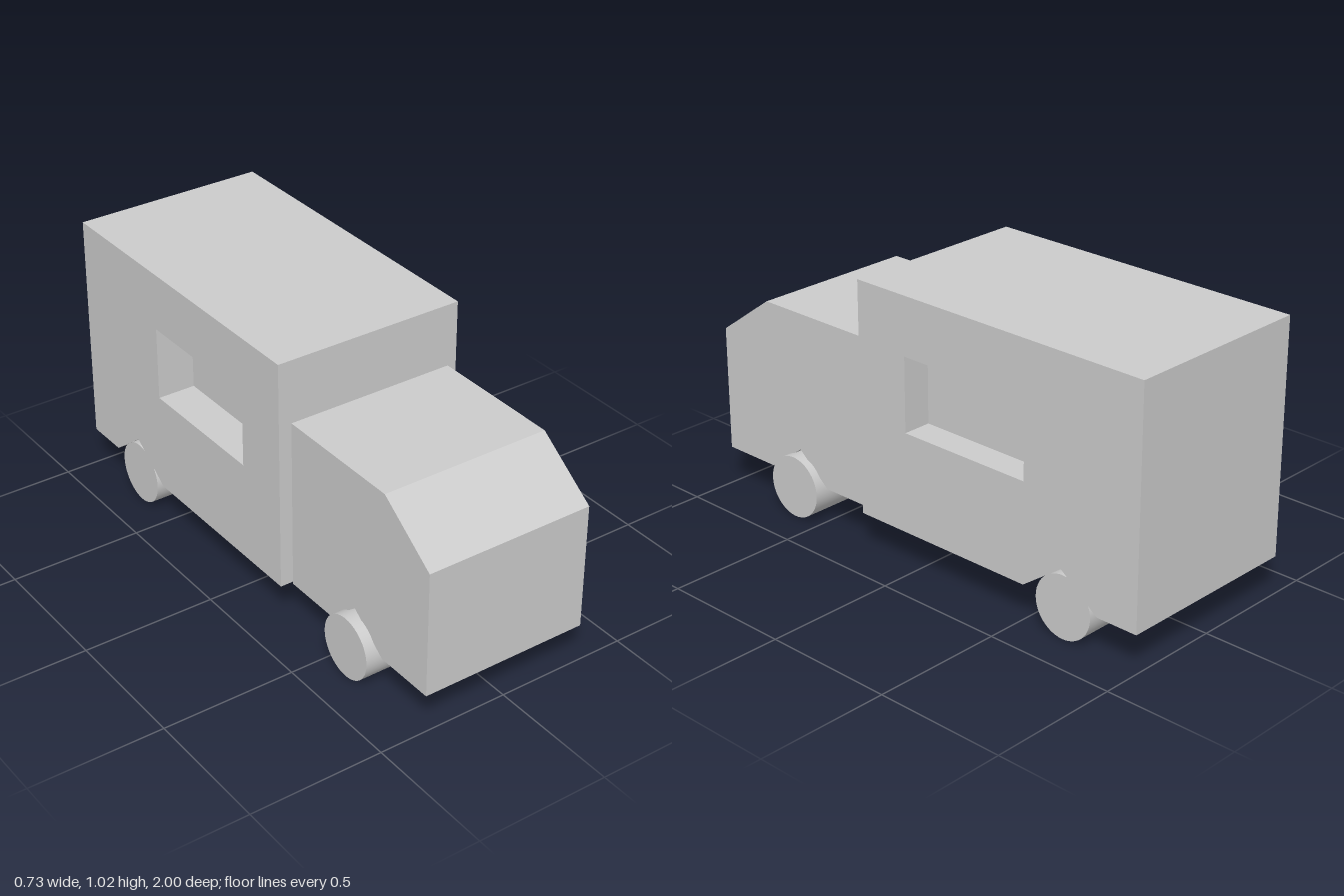
import * as THREE from 'three';

const material = new THREE.MeshStandardMaterial({ color: 0xcccccc });

// Extrudes a side profile of [z, y] points across the width from x0 to x1
function extrudeSide(name, profile, x0, x1, hole) {
  const toPoints = (list) => list.map(([z, y]) => new THREE.Vector2(z, y));
  const shape = new THREE.Shape(toPoints(profile));
  if (hole) shape.holes.push(new THREE.Path(toPoints(hole)));
  const geometry = new THREE.ExtrudeGeometry(shape, { depth: x1 - x0, bevelEnabled: false });
  geometry.rotateY(-Math.PI / 2).translate(x1, 0, 0);
  const mesh = new THREE.Mesh(geometry, material);
  mesh.name = name;
  return mesh;
}

export function createModel() {
  const model = new THREE.Group();
  model.name = 'boxVan';
  const floor = 0.145;
  const frontAxle = 0.617, rearAxle = -0.68;

  // Cab with sloped windscreen and a pointed wheel arch
  model.add(extrudeSide('cab', [
    [0.255, floor], [0.475, floor], [0.613, 0.258], [0.765, floor],
    [1, floor], [1, 0.622], [0.765, 0.79], [0.255, 0.79],
  ], -0.324, 0.322));

  // Cargo box with a window opening on each side
  const opening = [[-0.515, 0.522], [-0.515, 0.802], [0.026, 0.802], [0.026, 0.522]];
  model.add(extrudeSide('cargoBox', [
    [-1, floor], [-0.835, floor], [-0.68, 0.263], [-0.515, floor],
    [0.245, floor], [0.245, 1.02], [-1, 1.02],
  ], -0.367, 0.365, opening));

  // Solid core that closes the openings, leaving recessed windows
  model.add(extrudeSide('windowPanels', opening, -0.222, 0.255));

  // Four wide wheels
  const wheelRadius = 0.118, wheelWidth = 0.235;
  const wheelGeometry = new THREE.CylinderGeometry(wheelRadius, wheelRadius, wheelWidth, 48);
  wheelGeometry.rotateZ(Math.PI / 2);
  for (const [end, z] of [['front', frontAxle], ['rear', rearAxle]]) {
    for (const [side, x] of [['Left', 0.236], ['Right', -0.247]]) {
      const wheel = new THREE.Mesh(wheelGeometry, material);
      wheel.name = `${end}${side}Wheel`;
      wheel.position.set(x, wheelRadius, z);
      model.add(wheel);
    }
  }
  return model;
}
